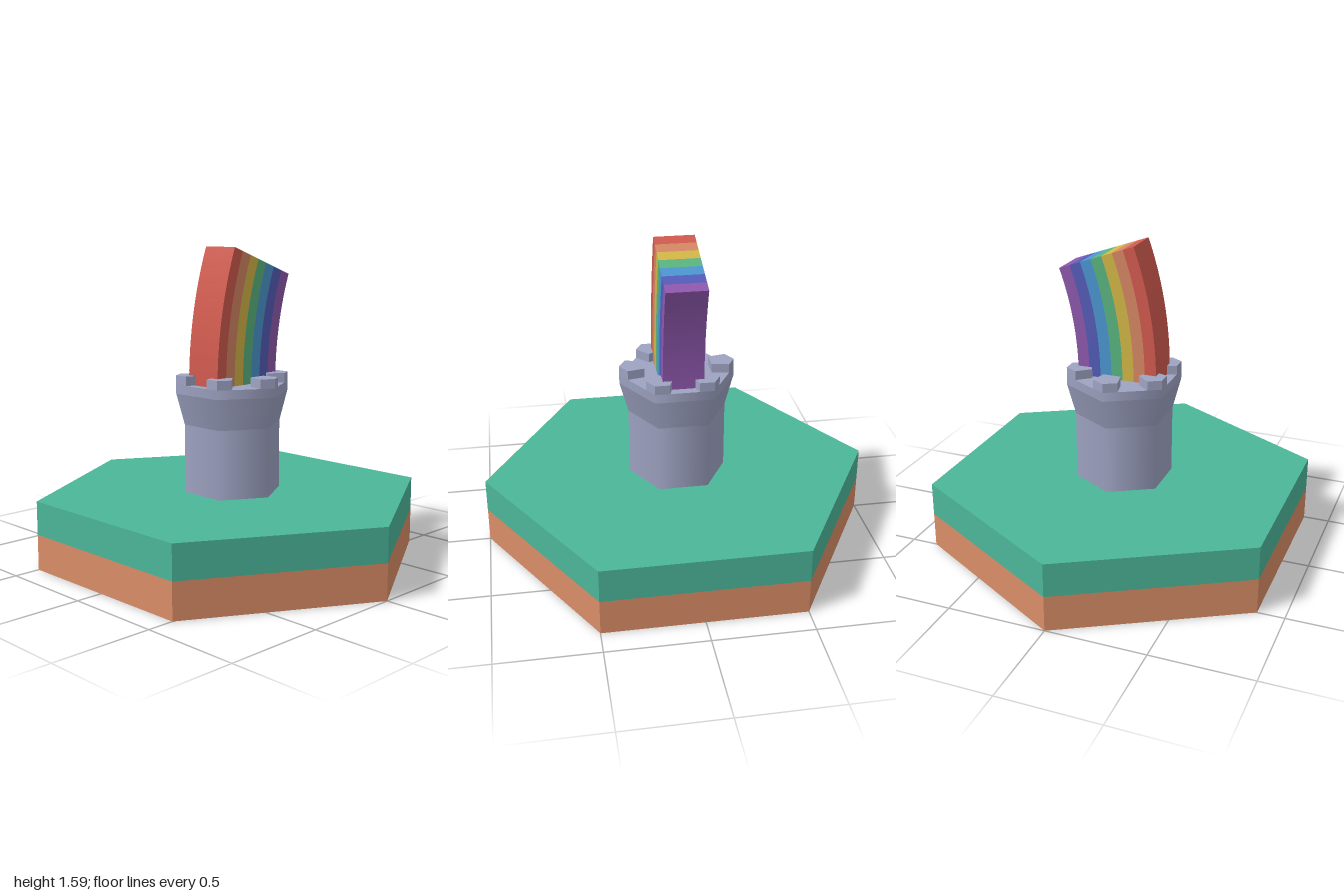
import * as THREE from 'three';

const mat = (name, color) => {
  const m = new THREE.MeshStandardMaterial({ color });
  m.name = name;
  return m;
};

export function createModel() {
  const model = new THREE.Group();
  model.name = 'rainbowTower';
  const grass = mat('grass green', 0x4bb699);
  const dirt = mat('dirt brown', 0xda8d66);
  const stone = mat('stone grey', 0x9ea3c2);

  const add = (parent, name, geometry, material) => {
    const mesh = new THREE.Mesh(geometry, material);
    mesh.name = name;
    parent.add(mesh);
    return mesh;
  };
  // Six-sided prism or frustum between two heights, with a corner facing +z
  const hex = (rBottom, rTop, y0, y1, open) =>
    new THREE.CylinderGeometry(rTop, rBottom, y1 - y0, 6, 1, open).translate(0, (y0 + y1) / 2, 0);

  // Hexagonal ground tile
  const ground = (y0, y1) => {
    const g = hex(1, 1, y0, y1, false).toNonIndexed();
    g.computeVertexNormals();
    return g;
  };
  add(model, 'dirtLayer', ground(0, 0.18), dirt);
  add(model, 'grassLayer', ground(0.18, 0.35), grass);

  // Tower with a flared top
  const tower = new THREE.Group();
  tower.name = 'tower';
  model.add(tower);
  const floorY = 0.906, topY = 0.953, rim = 0.293;
  add(tower, 'shaft', hex(0.25, 0.25, 0.35, 0.7, true), stone);
  add(tower, 'flare', hex(0.25, rim, 0.7, 0.86, true), stone);
  add(tower, 'collar', hex(rim, rim, 0.86, floorY, false), stone);

  // One battlement on each corner of the rim
  const outerX = rim * 0.866 * 0.25, outerY = rim * 0.875;
  const battlement = new THREE.Shape([
    new THREE.Vector2(0.046, 0.17), new THREE.Vector2(outerX, outerY),
    new THREE.Vector2(0, rim),
    new THREE.Vector2(-outerX, outerY), new THREE.Vector2(-0.046, 0.17),
  ]);
  const battlementGeo = new THREE.ExtrudeGeometry(battlement, { depth: topY - floorY, bevelEnabled: false })
    .rotateX(-Math.PI / 2).translate(0, floorY, 0);
  for (let i = 0; i < 6; i++) add(tower, 'battlement', battlementGeo, stone).rotation.y = i * Math.PI / 3;

  // Rainbow: seven concentric bands sweeping up through 20 degrees
  const rainbow = new THREE.Group();
  rainbow.name = 'rainbow';
  model.add(rainbow);
  const bands = [
    ['red', 0xd05a4e], ['orange', 0xd48663], ['yellow', 0xd2b646], ['green', 0x59b480],
    ['blue', 0x4c96d0], ['indigo', 0x545cb8], ['violet', 0x8f58ae],
  ];
  const R = 2, width = 0.414 / bands.length, cx = 1.794;
  const a0 = Math.PI, a1 = Math.PI * 8 / 9;
  bands.forEach(([name, color], i) => {
    const outer = R - i * width;
    const s = new THREE.Shape();
    s.absarc(cx, floorY, outer, a0, a1, true);
    s.absarc(cx, floorY, outer - width, a1, a0, false);
    const g = new THREE.ExtrudeGeometry(s, { depth: 0.204, bevelEnabled: false, curveSegments: 14 })
      .translate(0, 0, -0.102);
    add(rainbow, name + 'Band', g, mat('rainbow ' + name, color));
  });
  return model;
}
